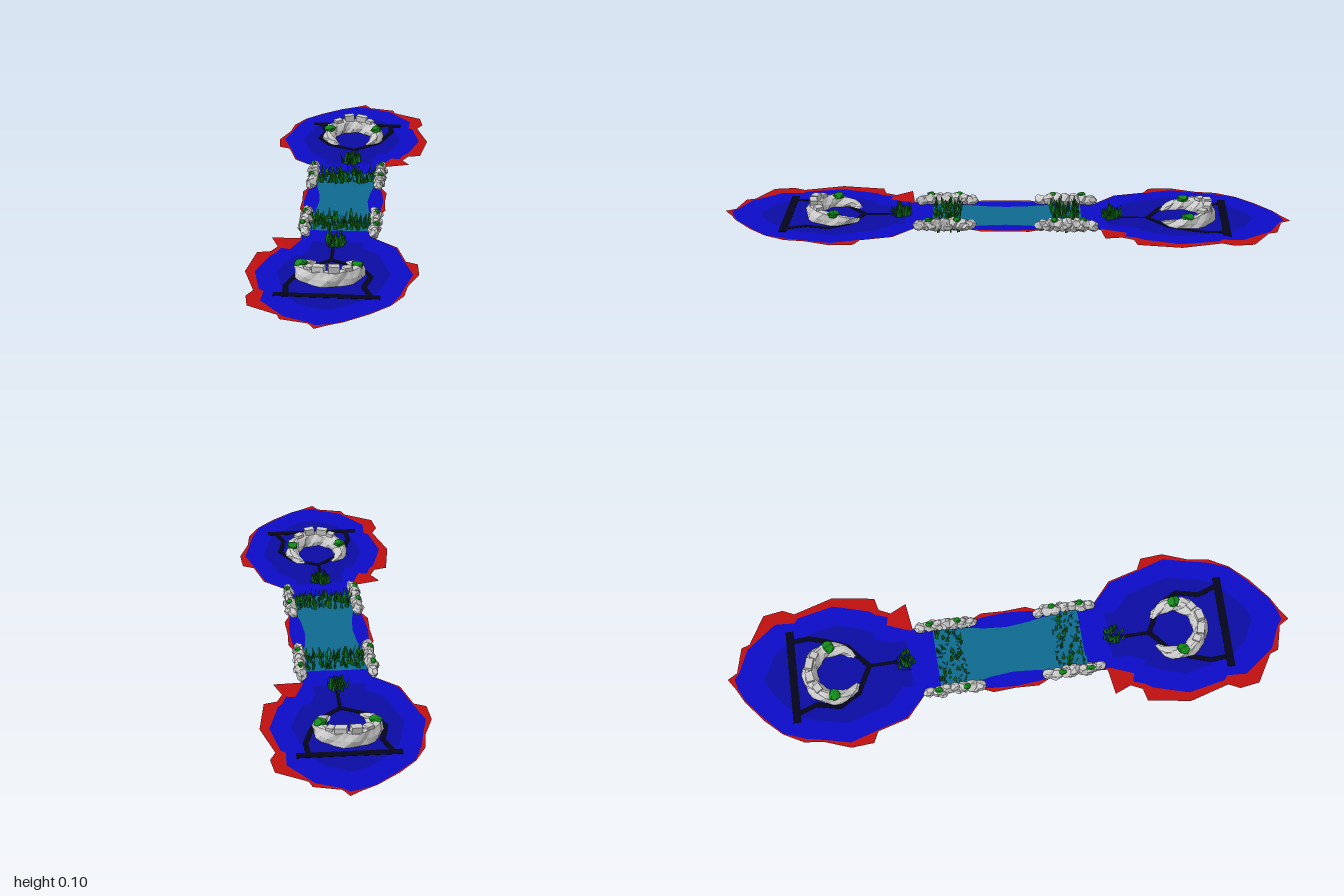
import * as THREE from 'three';
import { mergeGeometries } from 'three/addons/utils/BufferGeometryUtils.js';

const Y = 0.031; // ground level
const mat = (color, flat = true) =>
  new THREE.MeshStandardMaterial({ color, flatShading: flat, side: THREE.DoubleSide });
const MATS = {
  rock: mat(0xcccccc), rim: mat(0xc01010), bank: mat(0x0c0cc8), floor: mat(0x0b0ba4),
  path: mat(0x04041c), water: mat(0x0f6a90), grass: mat(0x0c6a14), moss: mat(0x118a18),
};

let seed = 7;
const rnd = (a = 0, b = 1) => {
  seed = (seed * 16807) % 2147483647;
  return a + (b - a) * (seed / 2147483647);
};

function add(parent, name, geometry, material) {
  const m = new THREE.Mesh(geometry, material);
  m.name = name;
  parent.add(m);
  return m;
}

// Surface through rows of points; every row has the same number of points
function loft(rows) {
  const n = rows[0].length, idx = [];
  for (let r = 0; r < rows.length - 1; r++)
    for (let i = 0; i < n - 1; i++) {
      const a = r * n + i, b = a + 1, c = a + n, d = c + 1;
      idx.push(a, c, b, b, c, d);
    }
  const g = new THREE.BufferGeometry();
  g.setAttribute('position', new THREE.Float32BufferAttribute(rows.flat(2), 3));
  g.setIndex(idx);
  g.computeVertexNormals();
  return g;
}

// Faceted stone; the shift depends on the corner's position so faces stay joined
function boulder(x, y, z, sx, sy, sz, turn = 0) {
  const g = new THREE.IcosahedronGeometry(1, 1), p = g.attributes.position;
  const k = rnd(0, 9);
  for (let i = 0; i < p.count; i++) {
    const v = new THREE.Vector3().fromBufferAttribute(p, i);
    v.multiplyScalar(1 + 0.16 * Math.sin(5 * v.x + 7 * v.y + 3 * v.z + k));
    p.setXYZ(i, v.x, v.y, v.z);
  }
  g.scale(sx, sy, sz).rotateY(turn).translate(x, y, z);
  g.computeVertexNormals();
  return g;
}

// Bent, tapering blade of grass
function blade(x, z, bottom, top, width) {
  const a = rnd(0, Math.PI * 2), lean = rnd(0.004, 0.014);
  const rows = [0, 0.55, 1].map((t) => {
    const w = width * [0.9, 1, 0.25][Math.round(t * 2)] / 2;
    const cx = x - Math.sin(a) * lean * t * t, cz = z + Math.cos(a) * lean * t * t;
    return [-w, w].map((s) => [cx + Math.cos(a) * s, bottom + (top - bottom) * t, cz + Math.sin(a) * s]);
  });
  return loft(rows);
}

// Shore outline of one basin: x, z, width of the red rim (share of radius), height
const SHORE = [
  [0.125, -0.26, 0], [0.13, -0.33, 0.04], [0.225, -0.342, 0.3, 0.0375], [0.2, -0.4, 0.06],
  [0.22, -0.44, 0.08], [0.265, -0.45, 0.17], [0.29, -0.6, 0.11], [0.25, -0.74, 0.07],
  [0.27, -0.78, 0.2], [0.26, -0.85, 0.15], [0.16, -0.91, 0.03], [0.15, -0.94, 0.06],
  [0.06, -0.965, 0.02], [0.04, -1, 0.06], [0, -0.975, 0.02], [-0.05, -0.95, 0.01],
  [-0.13, -0.89, 0.02], [-0.19, -0.83, 0.01], [-0.23, -0.76, 0.05], [-0.24, -0.69, 0.03],
  [-0.275, -0.6, 0.07], [-0.27, -0.52, 0.13], [-0.23, -0.5, 0.02], [-0.2, -0.39, 0.02],
  [-0.11, -0.31, 0], [-0.12, -0.26, 0],
];

function basin(parent) {
  const ring = (f, flat) => [...SHORE, SHORE[0]].map(([x, z, w, y]) => {
    const k = f(w);
    return [x * k, flat ? Y : y ?? Y, -0.6 + (z + 0.6) * k];
  });
  const outer = ring(() => 1), shore = ring((w) => 1 - w, true);
  const inner = ring((w) => 0.72 * (1 - w), true), centre = ring(() => 0, true);
  add(parent, 'redRim', loft([outer, shore]), MATS.rim);
  add(parent, 'basinShelf', loft([shore, inner]), MATS.bank);
  add(parent, 'basinFloor', loft([inner, centre]), MATS.floor);
}

// Dark lines on the floor, seen from above and below
function paths(parent) {
  const bars = [];
  const line = (pts, w) => pts.slice(1).forEach(([x, z], i) => {
    const [x0, z0] = pts[i], dx = x - x0, dz = z - z0, l = Math.hypot(dx, dz);
    bars.push(new THREE.BoxGeometry(w, 0.0016, l + w * 0.4)
      .rotateY(Math.atan2(dx, dz)).translate((x + x0) / 2, Y, (z + z0) / 2));
  });
  line([[-0.15, -0.775], [0.18, -0.765]], 0.028);
  line([[0.145, -0.765], [0.15, -0.7], [0.13, -0.64], [0.1, -0.57], [0.015, -0.5]], 0.018);
  line([[-0.125, -0.77], [-0.1, -0.7], [-0.12, -0.62], [-0.08, -0.55], [0.015, -0.5]], 0.018);
  line([[0.015, -0.51], [0.015, -0.4]], 0.012);
  add(parent, 'darkPaths', mergeGeometries(bars), MATS.path);
}

// Crescent rock, high at the back and tapering to two low tips
function crescent(parent, cx, cz) {
  const g = new THREE.Group();
  g.name = 'crescentRock';
  g.position.set(cx, Y, cz);
  parent.add(g);
  const section = [[1, -0.05], [0.95, 0.45], [0.6, 0.93], [0.05, 1], [-0.55, 0.8], [-0.95, 0.35], [-1, -0.05]];
  const rows = [], N = 22;
  for (let i = 0; i <= N; i++) {
    const t = (i / N) * 2 - 1, a = t * 2.55, u = Math.abs(t);
    const w = 0.027 * Math.sqrt(Math.max(0.01, 1 - u ** 3));
    const h = 0.047 * (1 - 0.88 * u ** 2.2) * (1 + 0.07 * Math.sin(i * 2.3));
    rows.push(section.map(([s, v], j) => {
      const r = 0.091 + s * w + 0.004 * Math.sin(i * 1.7 + j * 2.1);
      return [Math.sin(a) * r, v * h, -Math.cos(a) * r * 0.98];
    }));
  }
  add(g, 'crescentBody', loft(rows), MATS.rock);
  // Loose slabs along the crest
  const slabs = [[0.03, 0.04, 0.022], [-0.018, 0.036, 0.024], [0.062, 0.024, 0.012], [-0.06, 0.028, 0.012]]
    .map(([x, w, h], i) => new THREE.BoxGeometry(w, h, 0.026)
      .rotateZ(0.08 * (i % 2 ? 1 : -1)).rotateY(-x * 9)
      .translate(x, 0.04 + h / 2, -Math.sqrt(0.0081 - x * x)));
  add(g, 'crestSlabs', mergeGeometries(slabs), MATS.rock);
  // Moss patches on both arms
  add(g, 'mossPatches', mergeGeometries([-1, 1].map((s) =>
    boulder(s * 0.09, 0.034, -0.012, 0.022, 0.012, 0.021, s))), MATS.moss);
}

// Row of boulders beside the channel
function rockWall(parent, side) {
  const parts = [];
  for (let i = 0; i < 7; i++) {
    const t = i / 6, bulge = Math.sin(Math.PI * (0.15 + 0.7 * t));
    const z = -0.125 - 0.175 * t, x = side * 0.12 + rnd(-0.005, 0.005);
    const h = 0.014 + 0.011 * bulge;
    parts.push(boulder(x, Y + h * 0.65, z, 0.016 + rnd(0, 0.005), h, 0.024, rnd(-0.3, 0.3)));
    if (i % 2) parts.push(boulder(x + side * 0.012, Y + 0.01, z + 0.012, 0.013, 0.013, 0.016));
  }
  add(parent, 'rockWall', mergeGeometries(parts), MATS.rock);
  add(parent, 'wallMoss', mergeGeometries([0.17, 0.27].map((z) =>
    boulder(side * 0.125, Y + 0.034, -z, 0.01, 0.008, 0.014))), MATS.moss);
}

function grass(parent) {
  const reeds = [], tuft = [];
  for (let i = 0; i < 80; i++)
    reeds.push(blade(-0.1 + 0.205 * (i / 79), -0.21 + rnd(-0.045, 0.05),
      i === 40 ? 0 : rnd(0.004, 0.018), rnd(0.052, 0.073), rnd(0.009, 0.015)));
  for (let i = 0; i < 34; i++) {
    const a = i * 2.4, r = 0.034 * Math.sqrt(i / 33);
    tuft.push(blade(0.01 + Math.cos(a) * r, -0.372 + Math.sin(a) * r,
      rnd(0.008, 0.018), rnd(0.058, 0.078), rnd(0.009, 0.014)));
  }
  add(parent, 'reedBed', mergeGeometries(reeds), MATS.grass);
  add(parent, 'grassTuft', mergeGeometries(tuft), MATS.grass);
}

export function createModel() {
  seed = 7;
  const model = new THREE.Group();
  model.name = 'pondTerrain';

  // Two basins, the front one turned half round
  [[0.005, -0.622], [0.015, -0.592]].forEach(([cx, cz], i) => {
    const half = new THREE.Group();
    half.name = i ? 'frontBasin' : 'backBasin';
    half.rotation.y = i * Math.PI;
    basin(half);
    paths(half);
    crescent(half, cx, cz);
    rockWall(half, 1);
    rockWall(half, -1);
    grass(half);
    model.add(half);
  });

  // Channel: water, blue banks and red edges
  const zs = [-0.265, -0.12, -0.08, 0, 0.08, 0.12, 0.265];
  const edge = (xs, s) => zs.map((z, i) => [s * xs[i], Y, z]);
  const wet = [0.118, 0.1, 0.092, 0.085, 0.092, 0.1, 0.118];
  const dry = [0.125, 0.128, 0.134, 0.14, 0.134, 0.128, 0.125];
  const rim = [0.126, 0.132, 0.15, 0.146, 0.15, 0.132, 0.126];
  add(model, 'water', loft([edge(wet, -1), edge(wet, 1)]), MATS.water);
  for (const s of [-1, 1]) {
    add(model, 'channelBank', loft([edge(wet, s), edge(dry, s)]), MATS.bank);
    add(model, 'channelRim', loft([edge(dry, s), edge(rim, s)]), MATS.rim);
  }
  return model;
}
